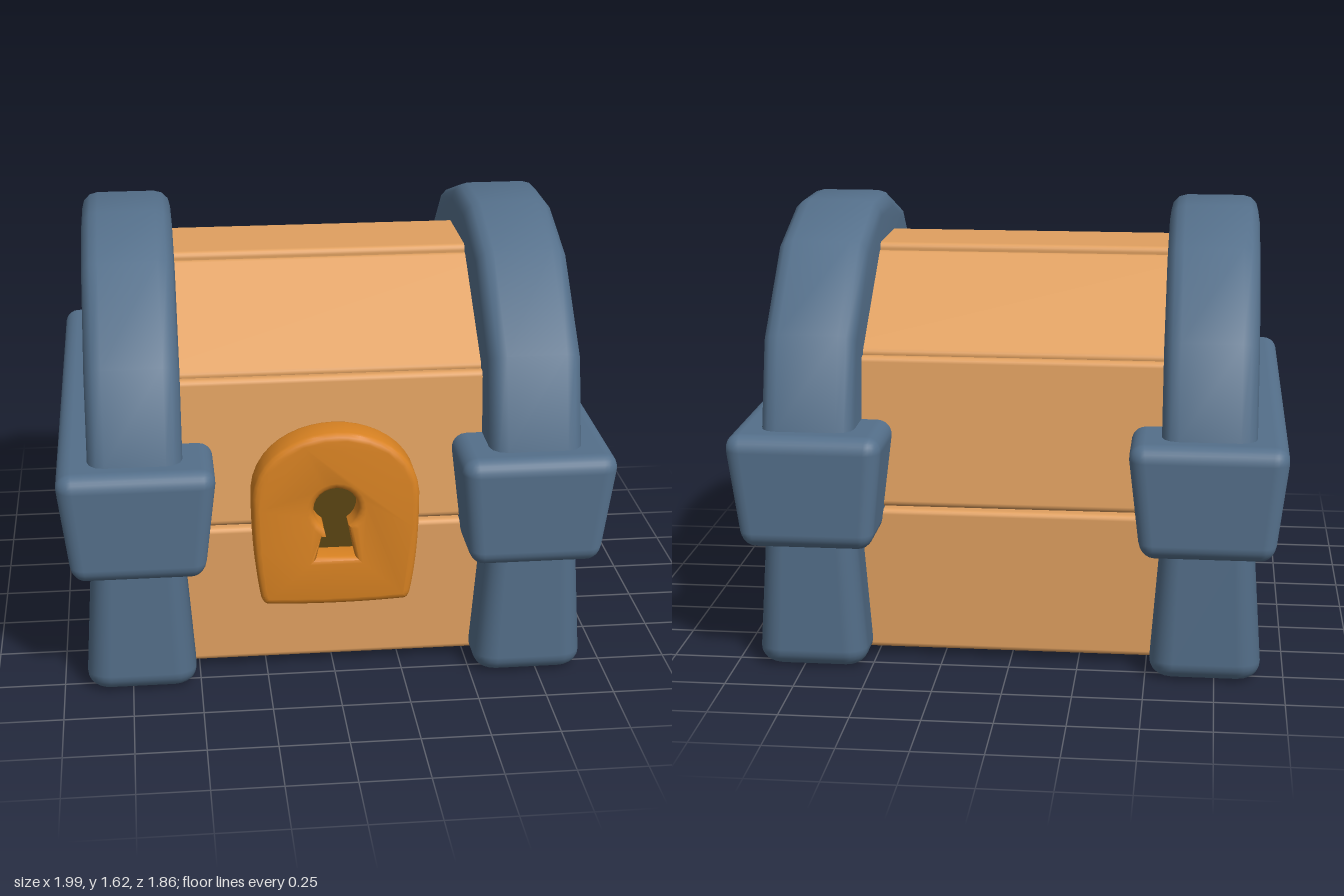
import * as THREE from 'three';
import { toCreasedNormals } from 'three/addons/utils/BufferGeometryUtils.js';
import { RoundedBoxGeometry } from 'three/addons/geometries/RoundedBoxGeometry.js';

function material(name, color) {
  const m = new THREE.MeshStandardMaterial({ color });
  m.name = name;
  return m;
}

function part(name, geometry, mat, parent) {
  const mesh = new THREE.Mesh(geometry, mat);
  mesh.name = name;
  parent.add(mesh);
  return mesh;
}

// Rounded block standing on y = 0 whose bottom is scaled in x and z
function taperedBlock(w, h, d, radius, bottomX, bottomZ) {
  const g = new RoundedBoxGeometry(w, h, d, 3, radius);
  const p = g.attributes.position;
  for (let i = 0; i < p.count; i++) {
    const t = 0.5 - p.getY(i) / h;
    p.setX(i, p.getX(i) * (1 + (bottomX - 1) * t));
    p.setZ(i, p.getZ(i) * (1 + (bottomZ - 1) * t));
  }
  return g.translate(0, h / 2, 0);
}

// Bevelled extrusion that keeps the drawn outline as its widest contour
function bevelled(shape, depth, bevel) {
  const g = new THREE.ExtrudeGeometry(shape, {
    depth: depth - 2 * bevel, bevelSize: bevel, bevelThickness: bevel,
    bevelOffset: -bevel, bevelSegments: 3, curveSegments: 10,
  });
  g.translate(0, 0, bevel - depth / 2);
  return toCreasedNormals(g, 0.75);
}

export function createModel() {
  const chest = new THREE.Group();
  chest.name = 'treasureChest';
  const metal = material('blueMetal', 0x546f8a);
  const wood = material('wood', 0xe0a060);
  const brass = material('orangeBrass', 0xd88222);
  const dark = material('keyholeDark', 0x5a4412);

  // Blue end caps: foot, flared band and faceted arch
  const archShape = new THREE.Shape([
    [0.87, 0.78], [0.84, 0.9], [0.75, 1.23], [0.44, 1.525], [0.14, 1.625],
    [-0.14, 1.625], [-0.45, 1.52], [-0.75, 1.23], [-0.84, 0.9], [-0.87, 0.78],
  ].map(([z, y]) => new THREE.Vector2(z, y)));
  const archGeo = bevelled(archShape, 0.335, 0.06).rotateY(-Math.PI / 2);
  const footGeo = taperedBlock(0.33, 0.54, 1.675, 0.07, 1.24, 1);
  const bandGeo = taperedBlock(0.57, 0.425, 1.865, 0.06, 0.83, 0.965);
  for (const side of [1, -1]) {
    const end = new THREE.Group();
    end.name = side > 0 ? 'leftEnd' : 'rightEnd';
    end.position.x = side * 0.715;
    chest.add(end);
    part('foot', footGeo, metal, end);
    part('band', bandGeo, metal, end).position.y = 0.475;
    part('arch', archGeo, metal, end);
  }

  // Wooden body
  part('body', new RoundedBoxGeometry(1.4, 0.54, 1.35, 2, 0.02), wood, chest)
    .position.y = 0.3;

  // Lid core behind the gaps between planks
  const coreShape = new THREE.Shape([
    [0.63, 0.5], [0.57, 1.11], [0.15, 1.42], [-0.15, 1.42], [-0.57, 1.11], [-0.63, 0.5],
  ].map(([z, y]) => new THREE.Vector2(z, y)));
  const coreGeo = new THREE.ExtrudeGeometry(coreShape, { depth: 1.4, bevelEnabled: false });
  part('lidCore', coreGeo.translate(0, 0, -0.7).rotateY(-Math.PI / 2), wood, chest);

  // Lid planks, each given by the outer edge from (z0, y0) to (z1, y1)
  const thick = 0.1;
  const planks = [
    [0.675, 0.58, 0.615, 1.13], [0.59, 1.135, 0.175, 1.45], [0.175, 1.47, -0.175, 1.47],
    [-0.175, 1.45, -0.59, 1.135], [-0.615, 1.13, -0.675, 0.58],
  ];
  planks.forEach(([z0, y0, z1, y1]) => {
    const a = Math.atan2(z1 - z0, y1 - y0);
    const length = Math.hypot(z1 - z0, y1 - y0);
    const plank = part('lidPlank', new RoundedBoxGeometry(1.4, length, thick, 2, 0.022), wood, chest);
    plank.rotation.x = a;
    plank.position.set(0, (y0 + y1) / 2 + Math.sin(a) * thick / 2,
      (z0 + z1) / 2 - Math.cos(a) * thick / 2);
  });

  // Lock plate with a keyhole
  const lockShape = new THREE.Shape();
  lockShape.moveTo(-0.25, 0.305);
  lockShape.quadraticCurveTo(0, 0.29, 0.25, 0.305);
  lockShape.quadraticCurveTo(0.27, 0.31, 0.275, 0.34);
  lockShape.quadraticCurveTo(0.305, 0.5, 0.302, 0.73);
  lockShape.bezierCurveTo(0.29, 0.89, 0.14, 0.972, 0, 0.972);
  lockShape.bezierCurveTo(-0.14, 0.972, -0.29, 0.89, -0.302, 0.73);
  lockShape.quadraticCurveTo(-0.305, 0.5, -0.275, 0.34);
  lockShape.quadraticCurveTo(-0.27, 0.31, -0.25, 0.305);
  const hole = new THREE.Path();
  hole.moveTo(-0.07, 0.485);
  hole.lineTo(-0.045, 0.61);
  hole.absarc(0, 0.675, 0.082, Math.PI * 1.31, -Math.PI * 0.31, true);
  hole.lineTo(0.07, 0.485);
  hole.closePath();
  lockShape.holes.push(hole);
  part('lockPlate', bevelled(lockShape, 0.145, 0.025), brass, chest).position.z = 0.713;
  part('keyhole', new THREE.BoxGeometry(0.24, 0.36, 0.008), dark, chest)
    .position.set(0, 0.62, 0.685);

  return chest;
}
